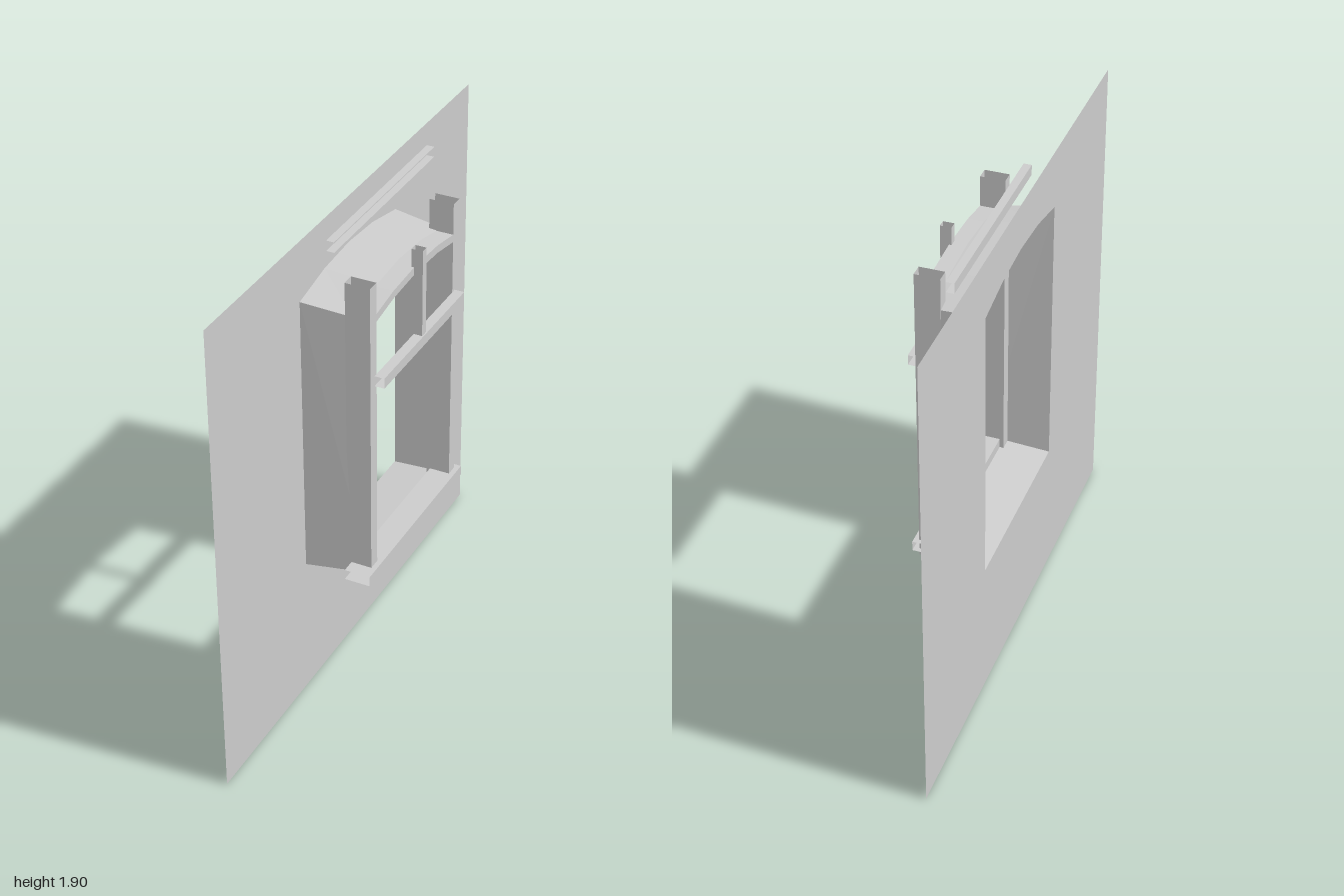
import * as THREE from 'three';

const material = new THREE.MeshStandardMaterial({ color: 0xcccccc, flatShading: true, side: THREE.DoubleSide });

export function createModel() {
  const model = new THREE.Group();
  const add = (name, geometry) => {
    const mesh = new THREE.Mesh(geometry, material);
    mesh.name = name;
    model.add(mesh);
  };

  // Rectangular member with some faces left open (0..5 = +x -x +y -y +z -z)
  const member = (name, [x0, x1], [y0, y1], [z0, z1], open) => {
    const g = new THREE.BoxGeometry(x1 - x0, y1 - y0, z1 - z0);
    g.setIndex(Array.from(g.index.array).filter((_, i) => !open.includes(Math.floor(i / 6))));
    g.clearGroups();
    g.translate((x0 + x1) / 2, (y0 + y1) / 2, (z0 + z1) / 2);
    add(name, g);
  };

  // Skin between successive closed cross-sections of [x, y, z] points
  const loft = (rows, closed) => {
    const n = rows[0].length, index = [];
    for (let r = 0; r < rows.length - 1; r++) {
      for (let i = 0; i < (closed ? n : n - 1); i++) {
        const a = r * n + i, b = r * n + (i + 1) % n;
        index.push(a, b, a + n, b, b + n, a + n);
      }
    }
    const indexed = new THREE.BufferGeometry();
    indexed.setAttribute('position', new THREE.Float32BufferAttribute(rows.flat(2), 3));
    indexed.setIndex(index);
    const g = indexed.toNonIndexed();
    g.computeVertexNormals();
    return g;
  };

  // Shallow segmental arch as [z, y] points
  const arch = (half, spring, rise) => [1, 0.5, 0, -0.5, -1].map(t => [t * half, spring + rise * (1 - t * t)]);

  // Opening outline: sill corner, arch, sill corner
  const outer = [[0.37, 0.56], ...arch(0.37, 1.67, 0.05), [-0.37, 0.56]];
  const inner = [[0.35, 0.59], ...arch(0.35, 1.65, 0.05), [-0.35, 0.59]];

  // Wall sheet with arched opening
  const wall = new THREE.Shape([[-1, 0], [1, 0], [1, 1.9], [-1, 1.9]].map(p => new THREE.Vector2(...p)));
  wall.holes.push(new THREE.Path(outer.map(p => new THREE.Vector2(...p))));
  add('wall', new THREE.ShapeGeometry(wall).rotateY(-Math.PI / 2).translate(-0.15, 0, 0));

  // Splayed reveal, deeper at the sill than at the head
  add('reveal', loft([
    outer.map(([z, y]) => [-0.15, y, z]),
    inner.map(([z, y]) => [y < 1 ? 0.1 : 0.045, y, z]),
  ], true));

  // Frame: side posts, sill, transom and short mullion
  for (const s of [1, -1]) {
    member(s > 0 ? 'leftPost' : 'rightPost', [0.015, 0.11], [0.55, 1.78], [s * 0.332 - 0.024, s * 0.332 + 0.024], [2, 3]);
  }
  member('sill', [0.03, 0.13], [0.58, 0.62], [-0.375, 0.41], [4, 5]);
  member('transom', [0.11, 0.148], [1.38, 1.42], [-0.33, 0.325], [4, 5]);
  member('mullion', [0.1, 0.143], [1.39, 1.76], [-0.015, 0.015], [2, 3]);

  // Curved head of the frame
  add('archHead', loft(arch(0.355, 1.62, 0.04).map(([z, y]) =>
    [[0.03, y, z], [0.11, y, z], [0.11, y + 0.03, z], [0.03, y + 0.03, z]]), true));

  // Channel rail above the opening, open towards the room
  member('rail', [-0.09, -0.06], [1.84, 1.88], [-0.505, 0.285], [0, 4, 5]);

  return model;
}
